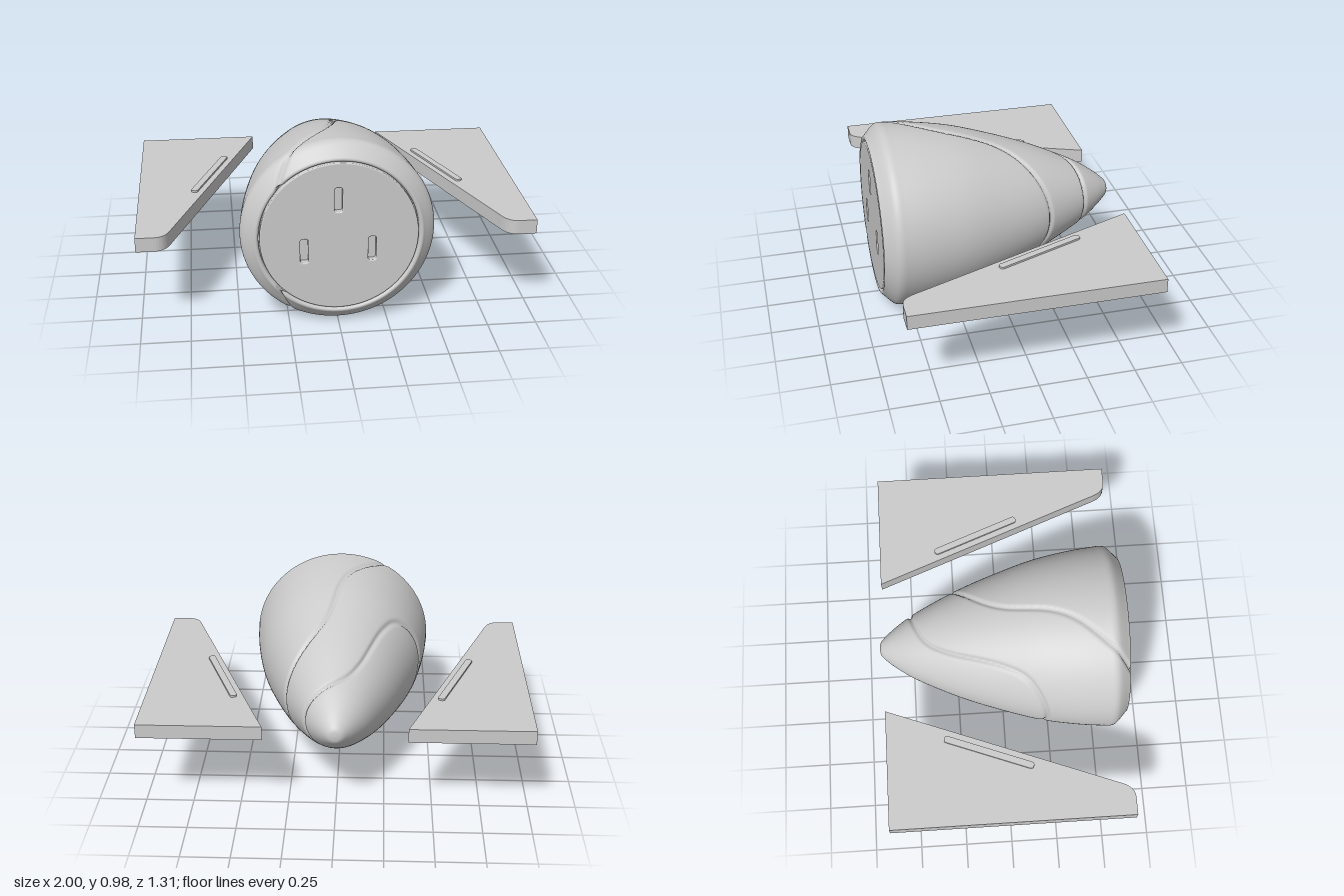
import * as THREE from 'three';
import { mergeVertices } from 'three/addons/utils/BufferGeometryUtils.js';

const AXIS_Y = 0.495;
const material = new THREE.MeshStandardMaterial({ color: 0xcccccc });

function addMesh(parent, name, geometry) {
  const mesh = new THREE.Mesh(geometry, material);
  mesh.name = name;
  parent.add(mesh);
  return mesh;
}

// Smooth seam line in plan (x, z), returned as short segments
function seam(points) {
  const curve = new THREE.CatmullRomCurve3(points.map(([x, z]) => new THREE.Vector3(x, 0, z)), false, 'centripetal');
  const p = curve.getSpacedPoints(48);
  return p.slice(1).map((b, i) => new THREE.Line3(p[i], b));
}

// Outline of a rounded rectangle centred on (x, y)
function roundedRect(x, y, w, h, r) {
  const path = new THREE.Path();
  const a = w / 2 - r, b = h / 2 - r;
  path.absarc(x + a, y + b, r, 0, Math.PI / 2);
  path.absarc(x - a, y + b, r, Math.PI / 2, Math.PI);
  path.absarc(x - a, y - b, r, Math.PI, Math.PI * 1.5);
  path.absarc(x + a, y - b, r, Math.PI * 1.5, Math.PI * 2);
  path.closePath();
  return path.getPoints(4);
}

// Bullet-shaped shell with two carved seams sweeping across it
function shellGeometry() {
  const profile = [
    [0, -0.655], [0.035, -0.648], [0.075, -0.61], [0.12, -0.553], [0.168, -0.48], [0.235, -0.35],
    [0.302, -0.2], [0.375, 0], [0.436, 0.2], [0.473, 0.4], [0.487, 0.53], [0.489, 0.57],
    [0.481, 0.592], [0.43, 0.643], [0.418, 0.654], [0.408, 0.653], [0.402, 0.645], [0.4, 0.62],
  ].map(([r, z]) => new THREE.Vector3(r, z, 0));
  const curve = new THREE.CatmullRomCurve3(profile, false, 'centripetal');
  const points = curve.getSpacedPoints(225).map(p => new THREE.Vector2(Math.max(0, p.x), p.y));
  let geo = new THREE.LatheGeometry(points, 280);
  geo.rotateX(Math.PI / 2);
  geo.deleteAttribute('uv');
  geo.deleteAttribute('normal');
  geo = mergeVertices(geo, 1e-5);
  geo.computeVertexNormals();

  const seams = [
    ...seam([[-0.52, 0.27], [-0.43, 0.215], [-0.31, 0.12], [-0.24, 0], [-0.12, -0.3], [-0.05, -0.4],
      [0.04, -0.45], [0.16, -0.485], [0.26, -0.5]]),
    ...seam([[-0.33, 0.69], [-0.23, 0.57], [-0.06, 0.375], [-0.005, 0.26], [0.05, 0.02], [0.1, -0.08],
      [0.18, -0.175], [0.265, -0.255], [0.34, -0.32]]),
  ];
  const pos = geo.attributes.position, nor = geo.attributes.normal;
  const v = new THREE.Vector3(), n = new THREE.Vector3();
  const flat = new THREE.Vector3(), near = new THREE.Vector3();
  for (let i = 0; i < pos.count; i++) {
    v.fromBufferAttribute(pos, i);
    n.fromBufferAttribute(nor, i);
    flat.set(v.x, 0, v.z);
    let d = 1;
    for (const s of seams) d = Math.min(d, s.closestPointToPoint(flat, true, near).distanceTo(flat));
    v.addScaledVector(n, -0.014 * Math.exp(-((d / 0.009) ** 2)));
    pos.setXYZ(i, v.x, v.y, v.z);
  }
  geo.computeVertexNormals();
  return geo;
}

// Front disc with three upright slots
function faceGeometry() {
  const circle = new THREE.Path().absarc(0, 0, 0.39, 0, Math.PI * 2);
  const shape = new THREE.Shape(circle.getPoints(48));
  for (const [x, y] of [[-0.005, 0.2], [-0.175, -0.07], [0.165, -0.07]]) {
    shape.holes.push(new THREE.Path(roundedRect(x, y, 0.052, 0.142, 0.018)));
  }
  return new THREE.ExtrudeGeometry(shape, {
    depth: 0.04, bevelThickness: 0.006, bevelSize: 0.006, bevelSegments: 3,
  });
}

// Flat fin with a raised strip that shows on both faces; side is +1 or -1
function makeFin(name, side) {
  const fin = new THREE.Group();
  fin.name = name;
  const shape = new THREE.Shape();
  shape.moveTo(side, -0.635);
  shape.lineTo(side * 0.365, -0.635);
  shape.lineTo(side * 0.82, 0.55);
  shape.bezierCurveTo(side * 0.84, 0.61, side * 0.86, 0.645, side * 0.91, 0.645);
  shape.lineTo(side, 0.645);
  shape.closePath();
  const plate = new THREE.ExtrudeGeometry(shape, { depth: 0.075, bevelEnabled: false, curveSegments: 10 });
  plate.rotateX(Math.PI / 2);
  addMesh(fin, name + 'Plate', plate).position.y = 0.535;

  const strip = new THREE.ExtrudeGeometry(new THREE.Shape(roundedRect(0, 0, 0.036, 0.492, 0.014)), {
    depth: 0.098, bevelEnabled: false,
  });
  strip.rotateX(Math.PI / 2);
  const mesh = addMesh(fin, name + 'Strip', strip);
  mesh.position.set(side * 0.624, 0.545, -0.1);
  mesh.rotation.y = side * Math.atan2(0.455, 1.185);
  return fin;
}

export function createModel() {
  const model = new THREE.Group();
  model.name = 'finnedPod';

  const body = new THREE.Group();
  body.name = 'body';
  body.position.y = AXIS_Y;
  addMesh(body, 'shell', shellGeometry());
  addMesh(body, 'socketFace', faceGeometry()).position.z = 0.609;

  // Floor behind the slots and the ring groove
  addMesh(body, 'slotFloor', new THREE.CircleGeometry(0.402, 64)).position.z = 0.622;
  model.add(body);

  model.add(makeFin('leftFin', 1), makeFin('rightFin', -1));
  return model;
}
